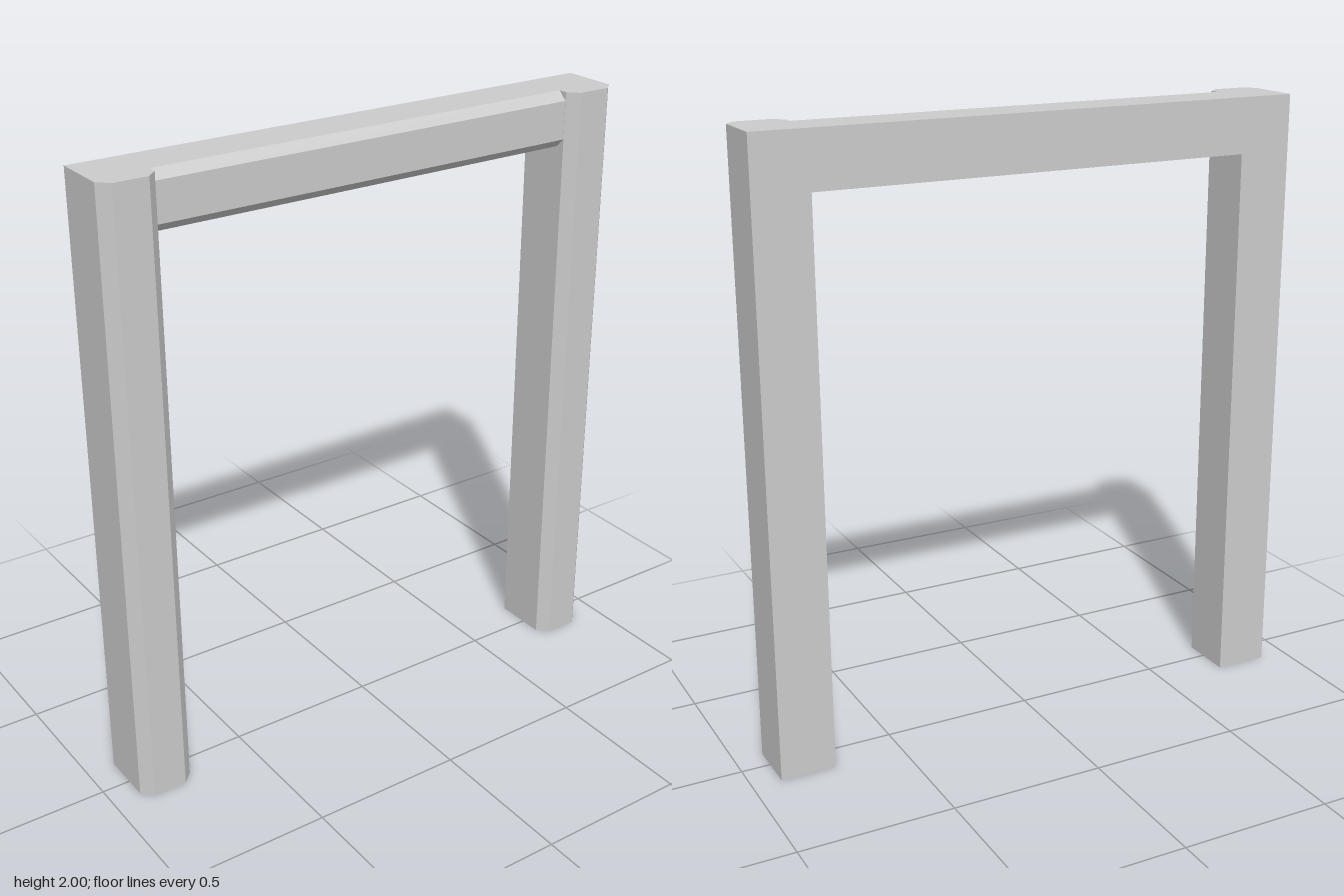
import * as THREE from 'three';

const HEIGHT = 2, OUTER = 0.907, INNER = 0.728, DEPTH = 0.108;
const BEAM_BOTTOM = 1.82, BEAM_FRONT = 0.073;

const material = new THREE.MeshStandardMaterial({ color: 0xcccccc, flatShading: true });

// Extrudes a closed outline of [x, y] points along +z
function extrude(points, depth) {
  const shape = new THREE.Shape(points.map(([x, y]) => new THREE.Vector2(x, y)));
  return new THREE.ExtrudeGeometry(shape, { depth, bevelEnabled: false });
}

// Upright with both front corners chamfered; plan outline is (x, -z)
function makePost(side) {
  const c = 0.034, w = (OUTER - INNER) / 2;
  const geometry = extrude([
    [-w, DEPTH], [-w, -DEPTH + c], [-w + c, -DEPTH],
    [w - c, -DEPTH], [w, -DEPTH + c], [w, DEPTH],
  ], HEIGHT);
  geometry.rotateX(-Math.PI / 2);
  const post = new THREE.Mesh(geometry, material);
  post.position.x = side * (OUTER + INNER) / 2;
  post.name = side > 0 ? 'leftPost' : 'rightPost';
  return post;
}

// Crossbeam with chamfered front edges; section outline is (-z, y)
function makeLintel() {
  const c = 0.028;
  const geometry = extrude([
    [DEPTH, BEAM_BOTTOM], [DEPTH, HEIGHT], [-BEAM_FRONT + c, HEIGHT],
    [-BEAM_FRONT, HEIGHT - c], [-BEAM_FRONT, BEAM_BOTTOM + c], [-BEAM_FRONT + c, BEAM_BOTTOM],
  ], INNER * 2);
  geometry.translate(0, 0, -INNER);
  geometry.rotateY(Math.PI / 2);
  const lintel = new THREE.Mesh(geometry, material);
  lintel.name = 'lintel';
  return lintel;
}

export function createModel() {
  const frame = new THREE.Group();
  frame.name = 'doorFrame';
  frame.add(makePost(1), makePost(-1), makeLintel());
  return frame;
}
